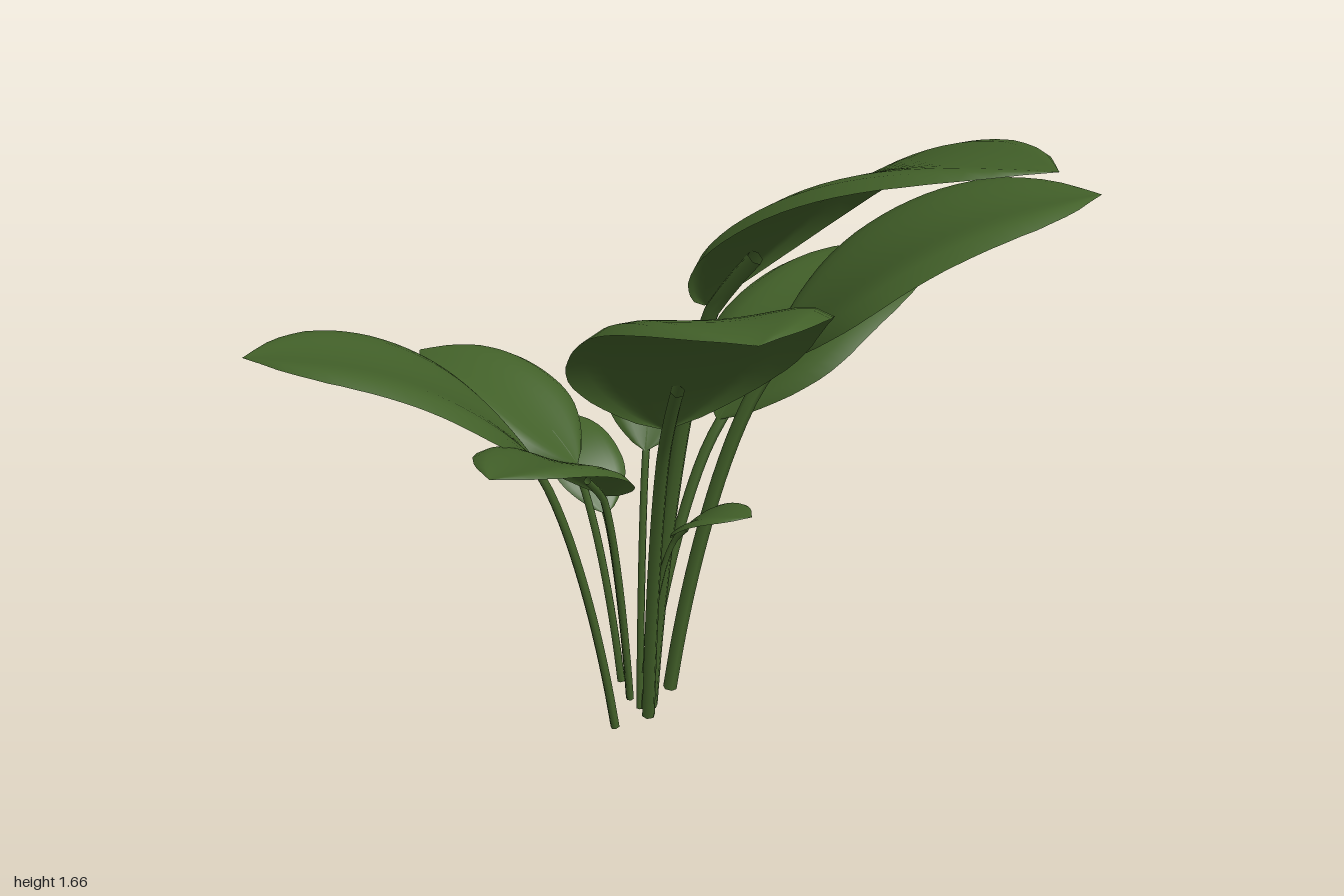
import * as THREE from 'three';

const material = new THREE.MeshStandardMaterial({ color: 0x426029, side: THREE.DoubleSide });

// Half-width of a blade along its midrib: [position, share of the widest point]
const outline = [[0, 0.03], [0.04, 0.27], [0.1, 0.51], [0.18, 0.75], [0.27, 0.93], [0.36, 1], [0.48, 1],
  [0.6, 0.96], [0.7, 0.88], [0.8, 0.74], [0.9, 0.47], [1, 0]];

// root, blade base, blade tip, half-width, stem radius
const leaves = [
  ['largeLeafRight', [-0.14, 0, -0.27], [-0.33, 0.78, -0.27], [-1.0, 1.12, -0.26], 0.235, 0.012],
  ['largeLeafLeft', [0.01, 0.09, -0.27], [0.24, 0.98, -0.21], [1.0, 1.4, 0.02], 0.29, 0.018],
  ['largeLeafBackLeft', [-0.05, 0.02, -0.31], [0.17, 0.79, -0.36], [0.82, 1.11, -0.61], 0.24, 0.014],
  ['largeLeafFront', [-0.07, 0.06, -0.2], [-0.08, 0.93, 0], [-0.13, 1.39, 0.75], 0.275, 0.017],
  ['largeLeafFrontLeft', [-0.05, 0.06, -0.25], [0.06, 1.18, -0.12], [0.53, 1.65, 0.66], 0.295, 0.02],
  ['smallLeafBackRight', [-0.11, 0.11, -0.31], [-0.19, 0.7, -0.4], [-0.51, 0.92, -0.75], 0.17, 0.01],
  ['smallLeafFrontRight', [-0.11, 0.1, -0.23], [-0.18, 0.7, -0.18], [-0.53, 0.92, 0.14], 0.165, 0.01],
  ['smallLeafBack', [-0.09, 0.06, -0.31], [-0.11, 0.54, -0.42], [-0.17, 0.71, -0.74], 0.1, 0.008],
  ['smallLeafBackLeft', [-0.06, 0.02, -0.31], [-0.01, 0.71, -0.4], [0.15, 0.92, -0.74], 0.12, 0.01],
  ['tinyLeafFront', [-0.07, 0.17, -0.23], [-0.01, 0.57, -0.17], [0.13, 0.68, 0.01], 0.085, 0.008],
];

function widthAt(u) {
  const i = Math.max(1, outline.findIndex(p => p[0] >= u));
  const [a, b] = [outline[i - 1], outline[i]];
  return THREE.MathUtils.mapLinear(u, a[0], b[0], a[1], b[1]);
}

// Midrib that climbs steeply and flattens towards the tip
function makeRib(base, tip) {
  const control = base.clone().lerp(tip, 0.4);
  control.y = tip.y + 0.06 * (tip.y - base.y);
  return new THREE.QuadraticBezierCurve3(base, control, tip);
}

// Level direction across the blade
function sideOf(rib) {
  const heading = rib.v2.clone().sub(rib.v0).setY(0).normalize();
  return new THREE.Vector3(heading.z, 0, -heading.x);
}

// Upward direction square to the midrib
function normalAt(rib, u) {
  return rib.getTangentAt(u).cross(sideOf(rib)).normalize();
}

// Blade: a grid bent along the midrib, its halves lifted slightly and its rims curled down
function makeBlade(rib, halfWidth) {
  const cols = 12, rows = 24;
  const geometry = new THREE.PlaneGeometry(1, 1, cols, rows);
  const position = geometry.attributes.position;
  const side = sideOf(rib);
  for (let r = 0; r <= rows; r++) {
    const u = r / rows;
    const w = widthAt(u) * halfWidth;
    const centre = rib.getPointAt(u);
    const normal = normalAt(rib, u);
    for (let c = 0; c <= cols; c++) {
      const s = (c / cols) * 2 - 1;
      const p = centre.clone()
        .addScaledVector(side, s * w)
        .addScaledVector(normal, w * (0.14 * s ** 2 - 0.2 * s ** 6));
      position.setXYZ(r * (cols + 1) + c, p.x, p.y, p.z);
    }
  }
  geometry.computeVertexNormals();
  return geometry;
}

// Stem: rises from the root and runs on along the underside of the blade
function makeStem(root, rib, radius) {
  const under = u => rib.getPointAt(u).addScaledVector(normalAt(rib, u), -0.9 * radius);
  const base = under(0);
  const height = base.y - root.y;
  const lower = root.clone().lerp(base, 0.2).setY(root.y + height * 0.4);
  const upper = root.clone().lerp(base, 0.6).setY(root.y + height * 0.85);
  const rise = new THREE.CubicBezierCurve3(root, lower, upper, base);
  const path = new THREE.CatmullRomCurve3([...rise.getPoints(8), under(0.07), under(0.13), under(0.19)]);
  return new THREE.TubeGeometry(path, 20, radius, 6);
}

export function createModel() {
  const plant = new THREE.Group();
  plant.name = 'leafyPlant';
  for (const [name, root, base, tip, halfWidth, radius] of leaves) {
    const rib = makeRib(new THREE.Vector3(...base), new THREE.Vector3(...tip));
    const leaf = new THREE.Group();
    leaf.name = name;
    const blade = new THREE.Mesh(makeBlade(rib, halfWidth), material);
    blade.name = 'blade';
    const stem = new THREE.Mesh(makeStem(new THREE.Vector3(...root), rib, radius), material);
    stem.name = 'stem';
    leaf.add(blade, stem);
    plant.add(leaf);
  }
  return plant;
}
